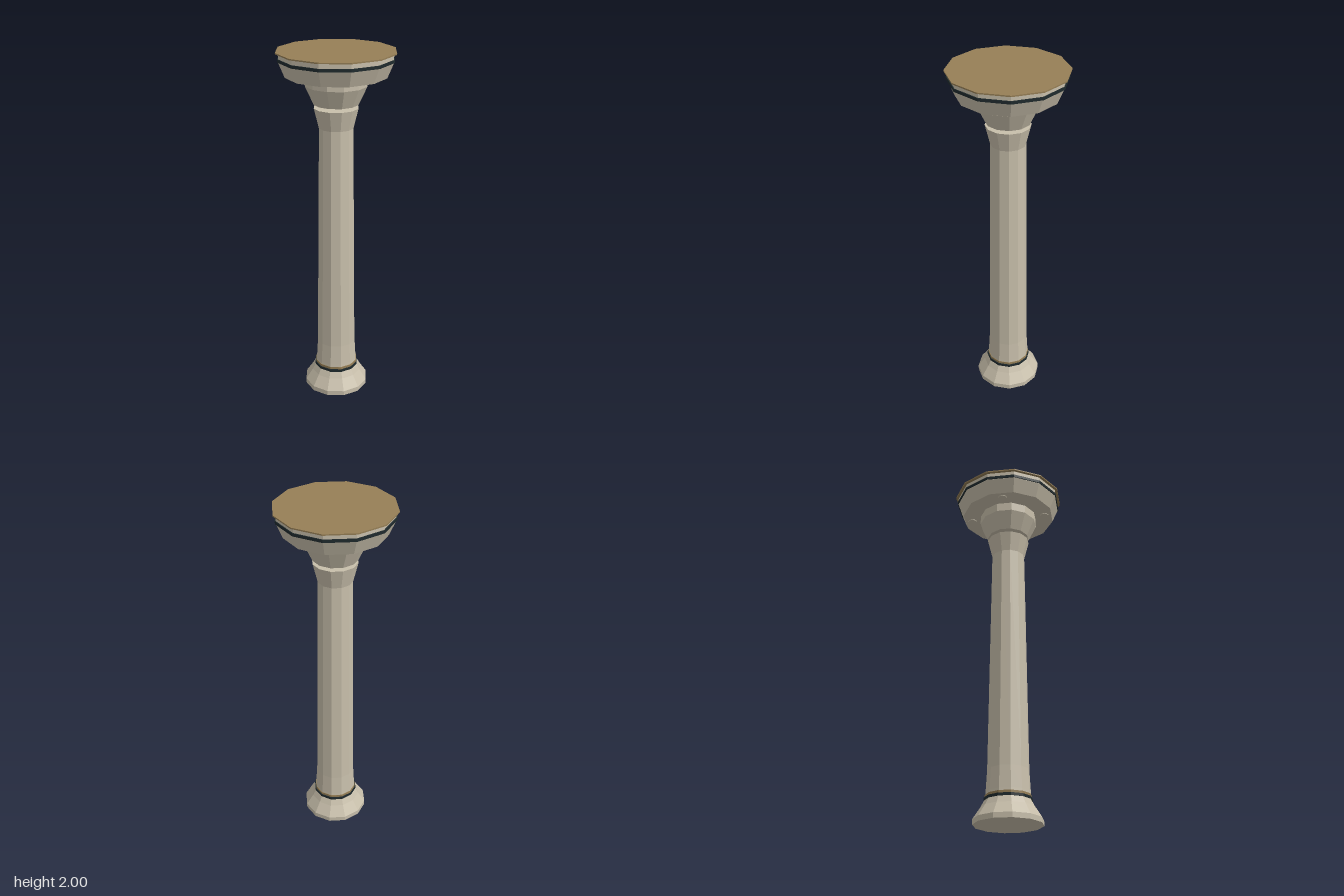
import * as THREE from 'three';

const SIDES = 12;

export function createModel() {
  const stone = new THREE.MeshStandardMaterial({ color: 0xc8bfab });
  stone.name = 'pale stone';
  const bronze = new THREE.MeshStandardMaterial({ color: 0x967f56 });
  bronze.name = 'bronze';
  const black = new THREE.MeshStandardMaterial({ color: 0x1f2a2d });
  black.name = 'dark inlay';

  const column = new THREE.Group();
  column.name = 'column';

  // Faceted, closed solid turned from [radius, height] pairs, bottom to top
  function turned(name, material, profile) {
    const first = profile[0], last = profile[profile.length - 1];
    const points = [[0, first[1]], ...profile, [0, last[1]]].map(([r, y]) => new THREE.Vector2(r, y));
    const geometry = new THREE.LatheGeometry(points, SIDES).toNonIndexed();
    geometry.computeVertexNormals();
    const mesh = new THREE.Mesh(geometry, material);
    mesh.name = name;
    column.add(mesh);
    return mesh;
  }

  // Foot and its two inlaid rings
  turned('base', stone, [[0.186, 0], [0.186, 0.028], [0.145, 0.09], [0.124, 0.13]]);
  turned('baseDarkRing', black, [[0.128, 0.126], [0.128, 0.141]]);
  turned('baseBronzeRing', bronze, [[0.123, 0.141], [0.123, 0.155]]);

  // Tapering shaft with a flared neck
  turned('shaft', stone, [[0.122, 0.13], [0.119, 0.17], [0.112, 0.29], [0.095, 1.59], [0.122, 1.70]]);

  // Floating capital above the open gap
  turned('collar', stone, [[0.122, 1.72], [0.168, 1.82], [0.168, 1.87]]);
  turned('capital', stone, [[0.272, 1.87], [0.305, 1.95], [0.305, 1.992]]);
  turned('capitalDarkRing', black, [[0.31, 1.951], [0.31, 1.967]]);
  turned('topPlate', bronze, [[0.32, 1.993], [0.32, 2]]);

  // Four small discs under the capital, on the diagonals
  for (let i = 0; i < 4; i++) {
    const angle = Math.PI / 4 + i * Math.PI / 2;
    const disc = turned('undersideDisc', stone, [[0.026, 1.866], [0.026, 1.872]]);
    disc.position.set(Math.sin(angle) * 0.22, 0, Math.cos(angle) * 0.22);
  }

  return column;
}
